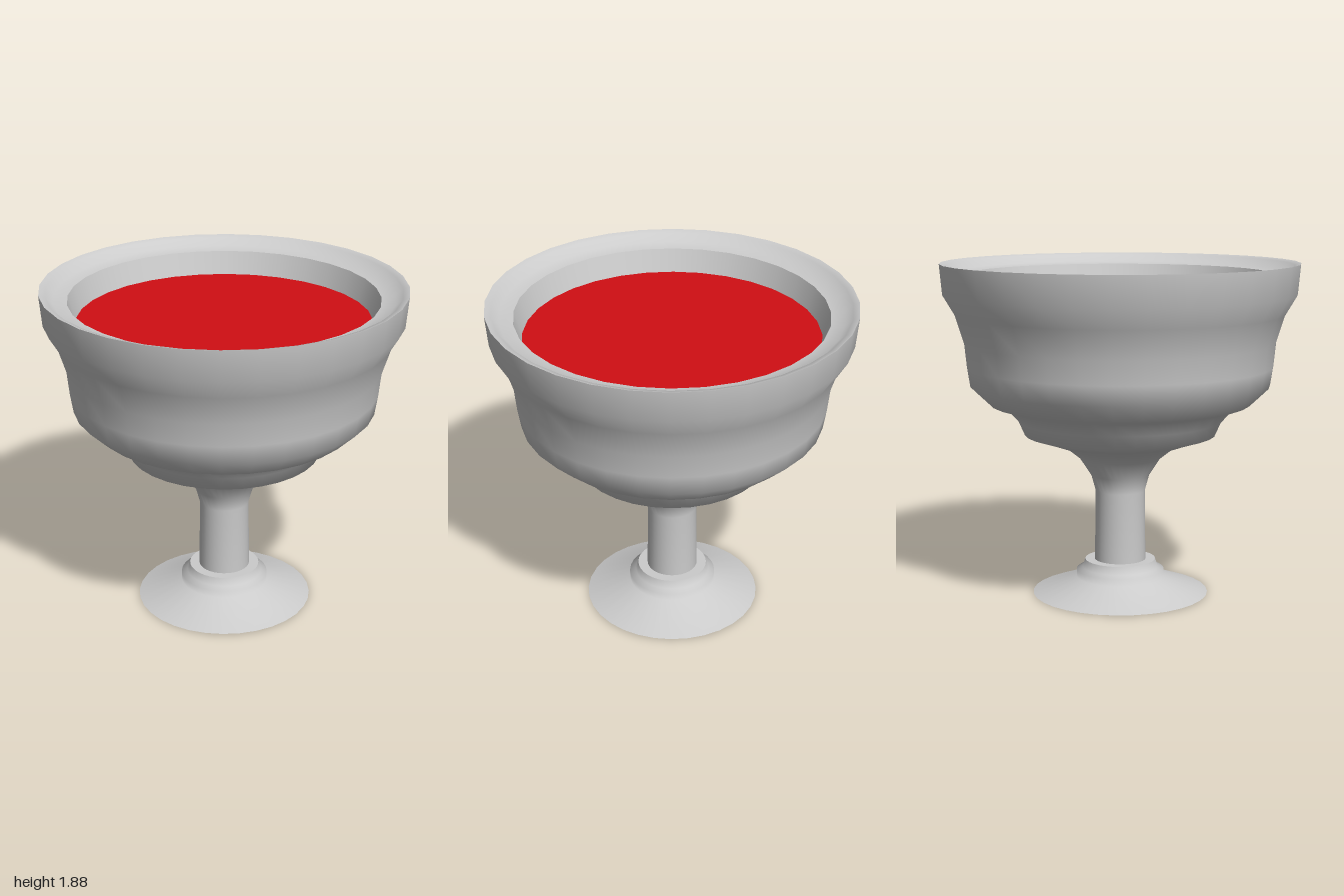
import * as THREE from 'three';

const SIDES = 32;

// Revolve a list of [radius, height] points about the y axis
function turned(name, profile, material) {
  const points = profile.map(([r, y]) => new THREE.Vector2(r, y));
  const mesh = new THREE.Mesh(new THREE.LatheGeometry(points, SIDES), material);
  mesh.name = name;
  return mesh;
}

export function createModel() {
  const group = new THREE.Group();
  group.name = 'goblet';

  const metal = new THREE.MeshStandardMaterial({ color: 0xcccccc, side: THREE.DoubleSide });
  const red = new THREE.MeshStandardMaterial({ color: 0xd00e14 });

  // Hollow flared foot with a stepped collar
  group.add(turned('foot', [
    [0.5, 0], [0.25, 0.09], [0.25, 0.13], [0.215, 0.145], [0.2, 0.19],
  ], metal));
  group.add(turned('collarTop', [[0.2, 0.19], [0.145, 0.19]], metal));

  // Stem flaring into the stepped bowl, up to the rim and over onto its inner ledge
  group.add(turned('stemAndBowl', [
    [0.145, 0.19], [0.14, 0.59], [0.165, 0.68], [0.23, 0.78], [0.305, 0.84],
    [0.43, 0.885], [0.54, 0.92], [0.575, 1.0], [0.645, 1.075], [0.735, 1.1],
    [0.84, 1.2], [0.857, 1.31], [0.87, 1.44], [0.92, 1.6], [0.985, 1.71], [1, 1.88],
  ], metal));
  group.add(turned('rimLedge', [
    [1, 1.88], [0.965, 1.87], [0.925, 1.83], [0.85, 1.82],
  ], metal));
  group.add(turned('innerWall', [[0.85, 1.82], [0.81, 1.69]], metal));

  // Drink surface
  const drink = new THREE.Mesh(new THREE.CircleGeometry(0.81, SIDES), red);
  drink.name = 'drink';
  drink.rotation.x = -Math.PI / 2;
  drink.position.y = 1.69;
  group.add(drink);

  return group;
}
